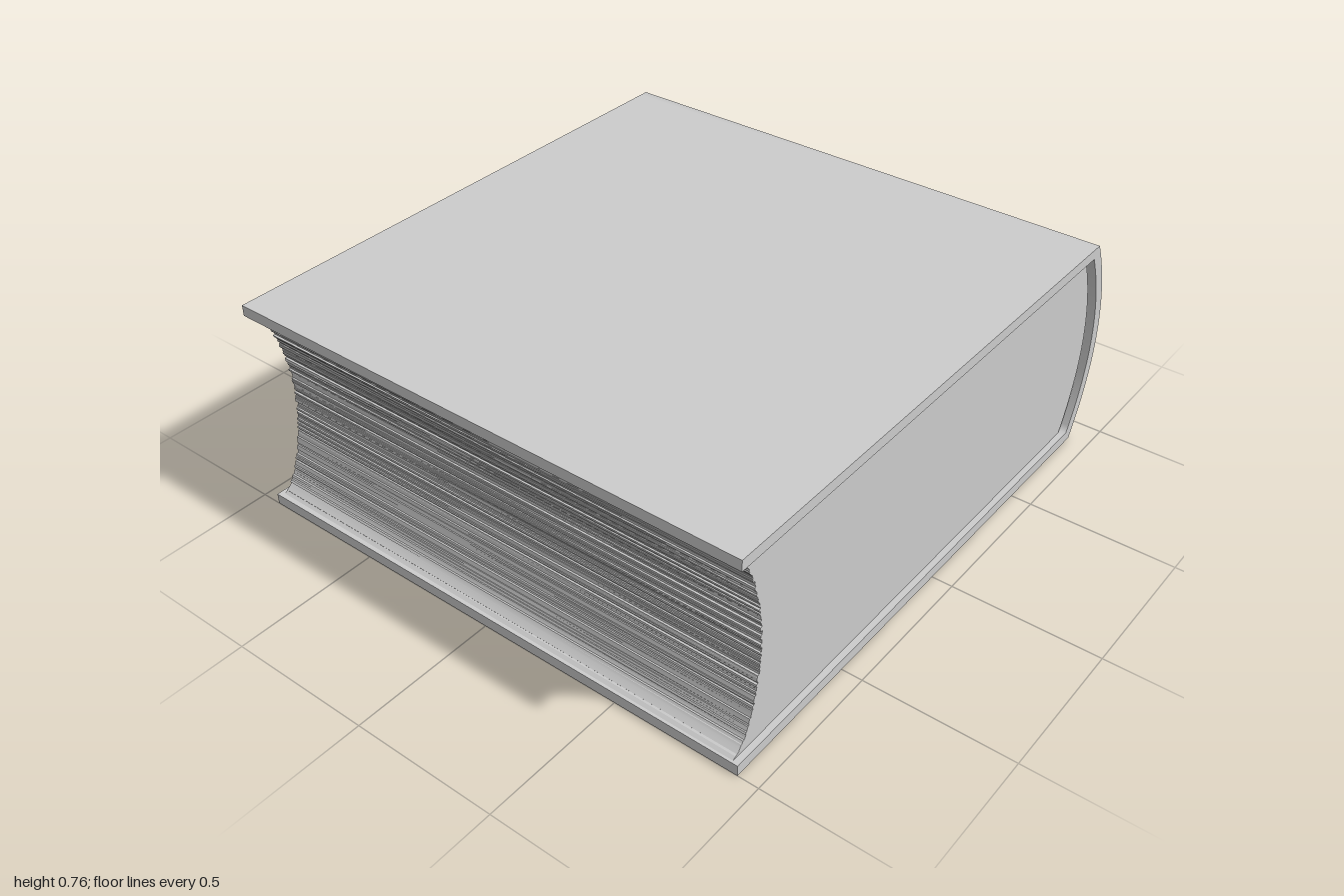
import * as THREE from 'three';
import { toCreasedNormals } from 'three/addons/utils/BufferGeometryUtils.js';

const HEIGHT = 0.76, MID = HEIGHT / 2;
const BOARD = 0.037;
const LEAVES = 90;

function seededRandom(seed) {
  return () => {
    seed = (seed * 16807) % 2147483647;
    return seed / 2147483647;
  };
}

// Points of a curve bulging to the back, from one height to another
function backCurve(y0, y1, z, bulge, count = 28) {
  return Array.from({ length: count + 1 }, (_, i) => {
    const t = (2 * i) / count - 1;
    return new THREE.Vector2(z - bulge * (1 - t * t), y0 + ((y1 - y0) * i) / count);
  });
}

// Extrudes a (z, y) profile along x, centred on x = 0
function extrudeAcross(points, width) {
  const geometry = new THREE.ExtrudeGeometry(new THREE.Shape(points), {
    depth: width, bevelEnabled: false, steps: 1,
  });
  geometry.translate(0, 0, -width / 2);
  geometry.rotateY(-Math.PI / 2);
  return geometry;
}

// Two boards joined by a rounded spine, as one C-shaped profile
function coverGeometry() {
  const p = (z, y) => new THREE.Vector2(z, y);
  const points = [
    p(1, 0), p(1, BOARD), p(-0.85, BOARD),
    ...backCurve(BOARD, HEIGHT - BOARD, -0.872, 0.088),
    p(-0.85, HEIGHT - BOARD), p(1, HEIGHT - BOARD), p(1, HEIGHT), p(-0.87, HEIGHT),
    ...backCurve(HEIGHT, 0, -0.9, 0.1),
    p(-0.87, 0),
  ];
  return toCreasedNormals(extrudeAcross(points, 1.86), 1.15);
}

// Page block: rounded back, hollow fore edge with uneven leaves
function pagesGeometry() {
  const y0 = BOARD + 0.002, y1 = HEIGHT - y0;
  const leaf = (y1 - y0) / LEAVES, gap = 0.0005;
  const foreEdge = (y) => {
    const t = (y - MID) / (MID - y0);
    return 0.88 + 0.08 * t ** 2 + 0.03 * t ** 16;
  };
  const points = [];
  for (let i = 0; i < LEAVES; i++) {
    for (const y of [y0 + i * leaf + gap, y0 + (i + 1) * leaf - gap]) {
      points.push(new THREE.Vector2(foreEdge(y), y));
    }
  }
  points.push(...backCurve(y1, y0, -0.855, 0.085));
  const geometry = extrudeAcross(points, 1.82);

  // Each leaf sticks out by its own amount at either end
  const random = seededRandom(4721);
  const jitter = Array.from({ length: LEAVES }, () => [random(), random()]);
  const pos = geometry.attributes.position;
  for (let i = 0; i < pos.count; i++) {
    if (pos.getZ(i) < 0.5) continue;
    const index = Math.floor((pos.getY(i) - y0) / leaf);
    const end = pos.getX(i) > 0 ? 1 : 0;
    pos.setZ(i, pos.getZ(i) + (jitter[index][end] - 0.5) * 0.009);
  }
  return toCreasedNormals(geometry, 0.4);
}

export function createModel() {
  const group = new THREE.Group();
  group.name = 'closedBook';
  const material = new THREE.MeshStandardMaterial({ color: 0xcccccc });
  const add = (name, geometry) => {
    const mesh = new THREE.Mesh(geometry, material);
    mesh.name = name;
    group.add(mesh);
  };
  add('cover', coverGeometry());
  add('pages', pagesGeometry());
  return group;
}
